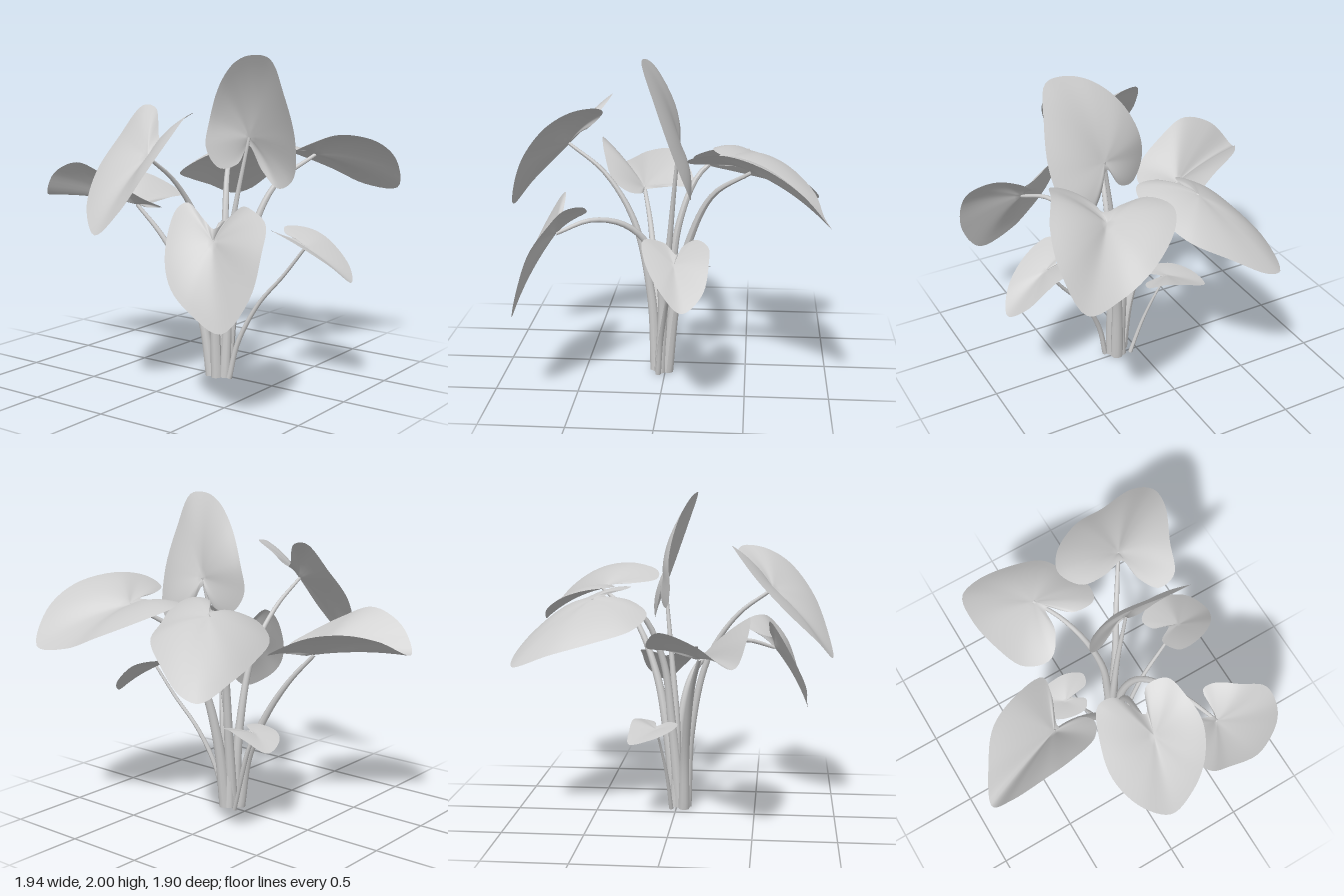
import * as THREE from 'three';

const stemMaterial = new THREE.MeshStandardMaterial({ color: 0xcccccc });
const leafMaterial = new THREE.MeshStandardMaterial({ color: 0xcccccc, side: THREE.DoubleSide });
const toPoints = list => list.map(p => new THREE.Vector3(...p));

// Round stalk that tapers from r0 at the ground to r1 at the leaf
function stemGeometry(path, r0, r1) {
  const rings = 28, sides = 10;
  const curve = new THREE.CatmullRomCurve3(path);
  const geo = new THREE.TubeGeometry(curve, rings, 1, sides, false);
  const pos = geo.attributes.position, v = new THREE.Vector3();
  for (let i = 0; i < pos.count; i++) {
    const t = Math.floor(i / (sides + 1)) / rings;
    const c = curve.getPointAt(t);
    v.fromBufferAttribute(pos, i).sub(c).multiplyScalar(r0 + (r1 - r0) * Math.pow(t, 0.9)).add(c);
    pos.setXYZ(i, v.x, Math.max(v.y, 0), v.z);
  }
  geo.computeVertexNormals();
  return geo;
}

// Heart-shaped blade: rings spread from the stalk joint out to a smooth outline
function bladeGeometry(joint, outline, bulge) {
  const around = 72, rings = 9;
  const rim = new THREE.CatmullRomCurve3(outline, true).getPoints(around).slice(0, around);
  const normal = new THREE.Vector3();
  rim.forEach((p, i) => {
    const a = p.clone().sub(joint), b = rim[(i + 1) % around].clone().sub(joint);
    normal.add(a.cross(b));
  });
  if (normal.y < 0) { rim.reverse(); normal.negate(); }
  normal.normalize();
  const verts = [joint.x, joint.y, joint.z], index = [];
  for (let k = 1; k <= rings; k++) {
    const r = k / rings;
    rim.forEach(p => {
      const reach = p.distanceTo(joint);
      const lift = bulge * 4 * r * (1 - r) * Math.min(1, reach / 0.35);
      const q = joint.clone().lerp(p, r).addScaledVector(normal, lift);
      verts.push(q.x, q.y, q.z);
    });
  }
  for (let i = 0; i < around; i++) {
    const j = (i + 1) % around;
    index.push(0, 1 + i, 1 + j);
    for (let k = 0; k < rings - 1; k++) {
      const a = 1 + k * around + i, b = 1 + k * around + j;
      index.push(a, a + around, b + around, a, b + around, b);
    }
  }
  const geo = new THREE.BufferGeometry();
  geo.setAttribute('position', new THREE.Float32BufferAttribute(verts, 3));
  geo.setIndex(index);
  geo.computeVertexNormals();
  return geo;
}

export function createModel() {
  const plant = new THREE.Group();
  plant.name = 'leafyPlant';

  // One stalk with its blade; the blade grows from the last point of the stalk
  function addLeaf(name, r0, r1, bulge, stem, outline) {
    const leaf = new THREE.Group();
    leaf.name = name;
    const path = toPoints(stem);
    const stalk = new THREE.Mesh(stemGeometry(path, r0, r1), stemMaterial);
    stalk.name = 'stalk';
    const foot = new THREE.Mesh(new THREE.CircleGeometry(r0, 10), stemMaterial);
    foot.name = 'stalkFoot';
    foot.rotation.x = Math.PI / 2;
    foot.position.copy(path[0]);
    const blade = new THREE.Mesh(bladeGeometry(path[path.length - 1], toPoints(outline), bulge), leafMaterial);
    blade.name = 'blade';
    leaf.add(stalk, foot, blade);
    plant.add(leaf);
  }

  addLeaf('rightLeaf', 0.036, 0.01, 0.025,
    [[-0.06, 0.01, 0.13], [-0.09, 0.5, 0.12], [-0.2, 0.98, 0.1], [-0.38, 1.26, 0.06], [-0.6, 1.43, 0.03]],
    [[-0.49, 1.52, 0.04], [-0.38, 1.63, 0.1], [-0.41, 1.68, 0.22], [-0.55, 1.66, 0.26], [-0.7, 1.57, 0.28],
      [-0.85, 1.38, 0.22], [-0.94, 1.16, 0.1], [-0.97, 1.02, -0.05], [-0.87, 1.14, -0.2],
      [-0.68, 1.33, -0.29], [-0.5, 1.52, -0.27], [-0.36, 1.7, -0.2], [-0.36, 1.69, -0.1]]);

  addLeaf('backLeaf', 0.036, 0.012, 0.02,
    [[-0.05, 0.01, 0.08], [-0.06, 0.35, 0.02], [-0.09, 0.64, -0.1], [-0.13, 0.88, -0.25], [-0.18, 1.06, -0.4]],
    [[-0.17, 1.05, -0.36], [-0.18, 1.06, -0.22], [-0.25, 1.08, -0.16], [-0.36, 1.14, -0.22],
      [-0.44, 1.26, -0.42], [-0.48, 1.34, -0.62], [-0.47, 1.25, -0.84], [-0.4, 1.1, -0.95],
      [-0.2, 1.2, -0.85], [-0.03, 1.25, -0.72], [0.08, 1.22, -0.52], [0.14, 1.1, -0.29], [0.02, 1.09, -0.3]]);

  addLeaf('backLeftLeaf', 0.038, 0.011, 0.03,
    [[-0.02, 0.01, 0.12], [0.03, 0.55, 0.11], [0.08, 0.95, 0.09], [0.2, 1.25, 0.02], [0.36, 1.36, -0.06], [0.5, 1.37, -0.14]],
    [[0.42, 1.39, -0.1], [0.27, 1.37, -0.12], [0.15, 1.3, -0.22], [0.22, 1.22, -0.37], [0.45, 1.15, -0.45],
      [0.7, 1.08, -0.48], [0.92, 1.0, -0.44], [0.95, 1.03, -0.33], [0.88, 1.15, -0.12], [0.76, 1.25, 0.07],
      [0.6, 1.31, 0.14], [0.42, 1.38, 0.2], [0.3, 1.42, 0.16], [0.3, 1.42, 0.02]]);

  addLeaf('frontLeftLeaf', 0.042, 0.011, 0.03,
    [[0.01, 0.01, 0.15], [0.06, 0.45, 0.17], [0.14, 0.85, 0.23], [0.29, 1.19, 0.32], [0.52, 1.37, 0.47]],
    [[0.45, 1.4, 0.45], [0.3, 1.41, 0.47], [0.17, 1.43, 0.54], [0.18, 1.48, 0.65], [0.36, 1.52, 0.73],
      [0.6, 1.47, 0.85], [0.8, 1.34, 0.89], [0.96, 1.14, 0.82], [0.93, 1.15, 0.6], [0.88, 1.24, 0.38],
      [0.72, 1.35, 0.15], [0.57, 1.4, 0.08], [0.43, 1.41, 0.16], [0.42, 1.4, 0.32]]);

  addLeaf('topLeaf', 0.034, 0.009, 0.03,
    [[0.01, 0.01, 0.12], [0.0, 0.5, 0.13], [0.04, 1.0, 0.18], [0.09, 1.5, 0.26]],
    [[0.1, 1.45, 0.25], [0.14, 1.3, 0.32], [0.17, 1.19, 0.42], [0.16, 1.25, 0.53], [0.07, 1.5, 0.6],
      [-0.03, 1.78, 0.58], [-0.1, 1.98, 0.53], [-0.1, 2.0, 0.4], [-0.06, 1.95, 0.25], [0.0, 1.81, 0.1],
      [0.04, 1.6, 0.0], [0.03, 1.42, -0.02], [0.06, 1.3, 0.06], [0.1, 1.33, 0.17]]);

  addLeaf('frontRightLeaf', 0.036, 0.011, 0.02,
    [[-0.03, 0.01, 0.17], [-0.02, 0.55, 0.19], [-0.1, 0.87, 0.26], [-0.24, 1.01, 0.33], [-0.42, 1.05, 0.41], [-0.61, 0.99, 0.5]],
    [[-0.59, 1.06, 0.49], [-0.43, 1.12, 0.5], [-0.44, 1.17, 0.57], [-0.53, 1.18, 0.7], [-0.6, 1.12, 0.84],
      [-0.7, 0.98, 0.88], [-0.78, 0.75, 0.86], [-0.84, 0.55, 0.72], [-0.83, 0.63, 0.5], [-0.82, 0.75, 0.36],
      [-0.75, 0.92, 0.27], [-0.62, 1.15, 0.25], [-0.58, 1.19, 0.3], [-0.58, 1.1, 0.42]]);

  addLeaf('lowFrontLeaf', 0.018, 0.009, 0.01,
    [[-0.04, 0.01, 0.21], [-0.02, 0.24, 0.26], [0.02, 0.49, 0.38], [0.06, 0.69, 0.54], [0.09, 0.87, 0.67]],
    [[0.1, 0.91, 0.6], [0.02, 0.95, 0.5], [-0.09, 0.98, 0.55], [-0.08, 0.92, 0.7], [0.02, 0.79, 0.88],
      [0.15, 0.68, 0.95], [0.26, 0.76, 0.87], [0.29, 0.9, 0.7], [0.28, 0.95, 0.57], [0.2, 0.96, 0.46], [0.13, 0.93, 0.5]]);

  addLeaf('lowBackLeaf', 0.014, 0.006, 0.01,
    [[0.03, 0.01, 0.06], [0.05, 0.25, -0.02], [0.08, 0.45, -0.1], [0.1, 0.58, -0.17]],
    [[0.1, 0.59, -0.12], [0.04, 0.6, -0.05], [-0.02, 0.6, -0.09], [0.0, 0.59, -0.25], [0.1, 0.56, -0.35],
      [0.24, 0.53, -0.37], [0.26, 0.58, -0.22], [0.25, 0.62, -0.08], [0.2, 0.6, 0.02], [0.13, 0.59, 0.0]]);

  return plant;
}
